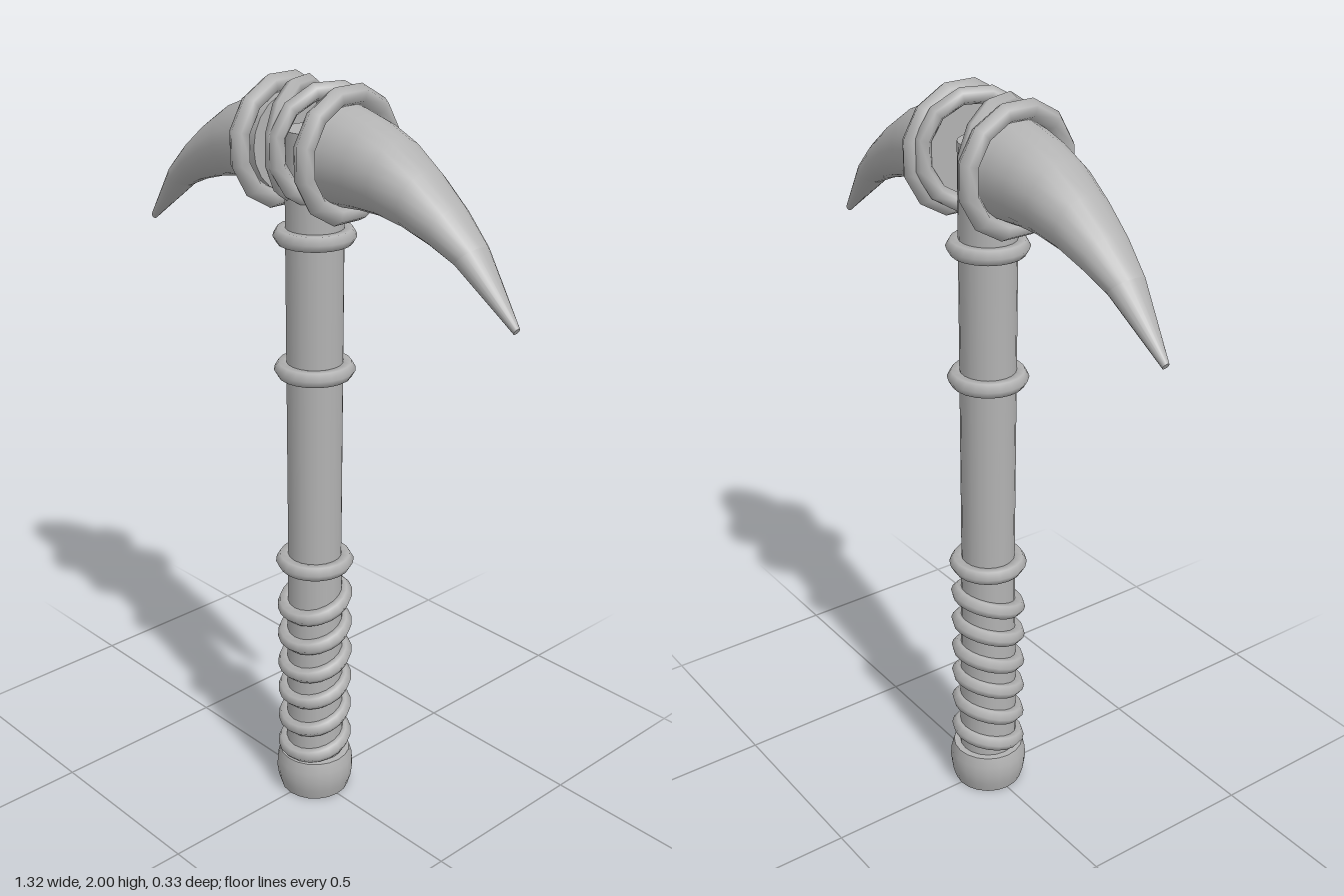
import * as THREE from 'three';

const grey = new THREE.MeshStandardMaterial({ color: 0xb2b2b2 });
grey.name = 'plain grey';

// Skin of elliptical loops; each section is [topX, topY, bottomX, bottomY, halfWidth]
function loftHorn(sections, sides = 20) {
  const pos = [], index = [];
  const addLoop = ([tx, ty, bx, by, w]) => {
    for (let i = 0; i < sides; i++) {
      const a = (i / sides) * Math.PI * 2, k = (1 + Math.cos(a)) / 2;
      pos.push(bx + (tx - bx) * k, by + (ty - by) * k, Math.sin(a) * w);
    }
  };
  sections.forEach(addLoop);
  for (let s = 0; s < sections.length - 1; s++) {
    for (let i = 0; i < sides; i++) {
      const j = (i + 1) % sides, p = s * sides, q = p + sides;
      index.push(p + i, p + j, q + i, p + j, q + j, q + i);
    }
  }
  // flat end caps with their own vertices
  [sections[0], sections[sections.length - 1]].forEach((sec, end) => {
    const base = pos.length / 3;
    addLoop(sec);
    for (let i = 1; i < sides - 1; i++) {
      if (end === 0) index.push(base, base + i + 1, base + i);
      else index.push(base, base + i, base + i + 1);
    }
  });
  const g = new THREE.BufferGeometry();
  g.setAttribute('position', new THREE.Float32BufferAttribute(pos, 3));
  g.setIndex(index);
  g.computeVertexNormals();
  return g;
}

export function createModel() {
  const model = new THREE.Group();
  const add = (name, geometry, parent = model) => {
    const mesh = new THREE.Mesh(geometry, grey);
    mesh.name = name;
    parent.add(mesh);
    return mesh;
  };

  // Handle, a little thicker at the grip
  add('handleGrip', new THREE.CylinderGeometry(0.073, 0.08, 0.62, 20)).position.y = 0.41;
  add('handleShaft', new THREE.CylinderGeometry(0.074, 0.072, 1.16, 20)).position.y = 1.3;

  // Rounded pommel with flat ends
  const pommel = [[0.095, 0], [0.104, 0.03], [0.108, 0.06], [0.106, 0.09], [0.098, 0.118]]
    .map(([x, y]) => new THREE.Vector2(x, y));
  add('pommel', new THREE.LatheGeometry(pommel, 20));
  const cap = new THREE.CircleGeometry(0.098, 20).rotateX(-Math.PI / 2);
  add('pommelTop', cap).position.y = 0.118;
  add('pommelBottom', new THREE.CircleGeometry(0.095, 20).rotateX(Math.PI / 2));

  // Level bands, then tilted grip windings that rise toward the back
  const band = new THREE.TorusGeometry(0.083, 0.022, 6, 20).rotateX(Math.PI / 2);
  [0.72, 1.27, 1.62].forEach((y) => { add('shaftBand', band).position.y = y; });
  [0.155, 0.245, 0.335, 0.42, 0.51, 0.6].forEach((y, i) => {
    const winding = add('gripWinding', band);
    winding.position.y = y;
    winding.rotation.x = i === 0 ? 0.25 : 0.31;
  });

  // Curved horns with a separate point
  const hornSections = [
    [0.085, 1.958, 0.085, 1.712, 0.12],
    [0.14, 1.95, 0.14, 1.715, 0.113],
    [0.21, 1.933, 0.19, 1.719, 0.105],
    [0.29, 1.9, 0.26, 1.719, 0.096],
    [0.375, 1.845, 0.34, 1.706, 0.082],
    [0.46, 1.778, 0.42, 1.682, 0.068],
    [0.54, 1.704, 0.49, 1.652, 0.05],
  ];
  const tipSections = [hornSections[6], [0.66, 1.546, 0.65, 1.53, 0.009]];
  const hornGeometry = loftHorn(hornSections);
  const tipGeometry = loftHorn(tipSections);

  // Coarse binding rings around the head
  const hoop = new THREE.TorusGeometry(0.143, 0.026, 6, 12).rotateZ(Math.PI / 12);
  const crossHoop = new THREE.TorusGeometry(0.136, 0.022, 6, 12).rotateZ(Math.PI / 12);
  for (const side of [1, -1]) {
    const horn = new THREE.Group();
    horn.name = side > 0 ? 'leftHorn' : 'rightHorn';
    horn.rotation.y = side > 0 ? 0 : Math.PI;
    add('hornBody', hornGeometry, horn);
    add('hornTip', tipGeometry, horn);
    model.add(horn);

    const ring = add('hornRing', hoop);
    ring.position.set(side * 0.115, 1.835, 0);
    ring.rotation.y = Math.PI / 2;

    // slanted ring, the pair meeting at the front of the handle
    const slanted = add('slantedRing', crossHoop);
    slanted.position.set(side * 0.048, 1.845, 0);
    slanted.rotation.y = Math.PI / 2 - side * 0.33;
  }
  return model;
}
